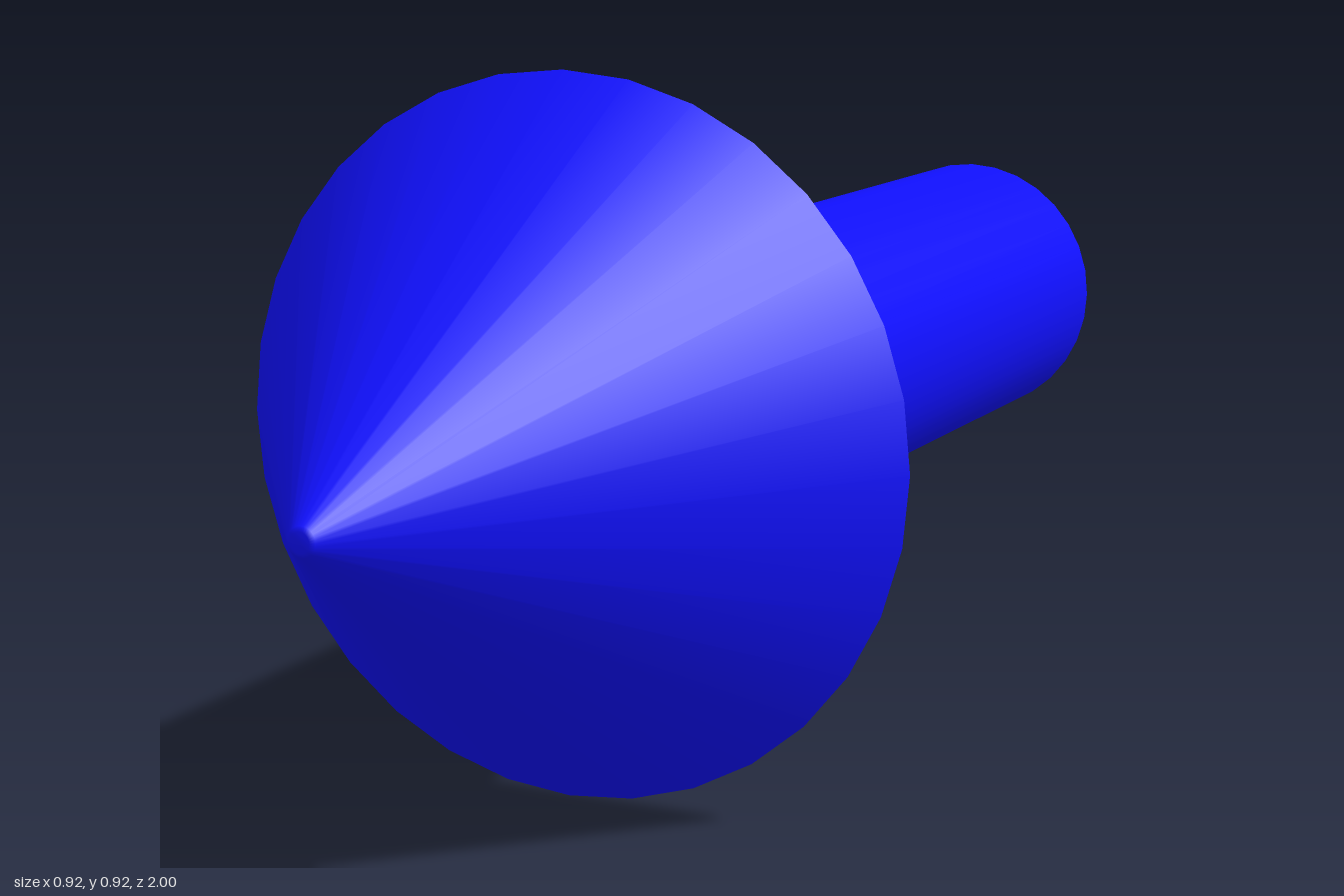
import * as THREE from 'three';

const AXIS_HEIGHT = 0.461;
const SIDES = 32;

// Smooth solid of revolution about the z axis; profile is [radius, z] from back to front
function turned(name, profile, material) {
  const points = profile.map(([r, z]) => new THREE.Vector2(r, z));
  const geometry = new THREE.LatheGeometry(points, SIDES);
  geometry.rotateX(Math.PI / 2);
  const mesh = new THREE.Mesh(geometry, material);
  mesh.name = name;
  mesh.position.y = AXIS_HEIGHT;
  return mesh;
}

export function createModel() {
  const group = new THREE.Group();
  group.name = 'arrow';
  const blue = new THREE.MeshStandardMaterial({ color: 0x1010ff });

  // Shaft with a slightly softened back edge
  group.add(turned('shaft', [
    [0, -1], [0.196, -1], [0.203, -0.993], [0.203, 0.41],
  ], blue));

  // Conical head with a softened rim and a small blunt tip
  group.add(turned('head', [
    [0, 0.4], [0.452, 0.4], [0.46, 0.408], [0.018, 0.997], [0.012, 1], [0, 1],
  ], blue));

  return group;
}
